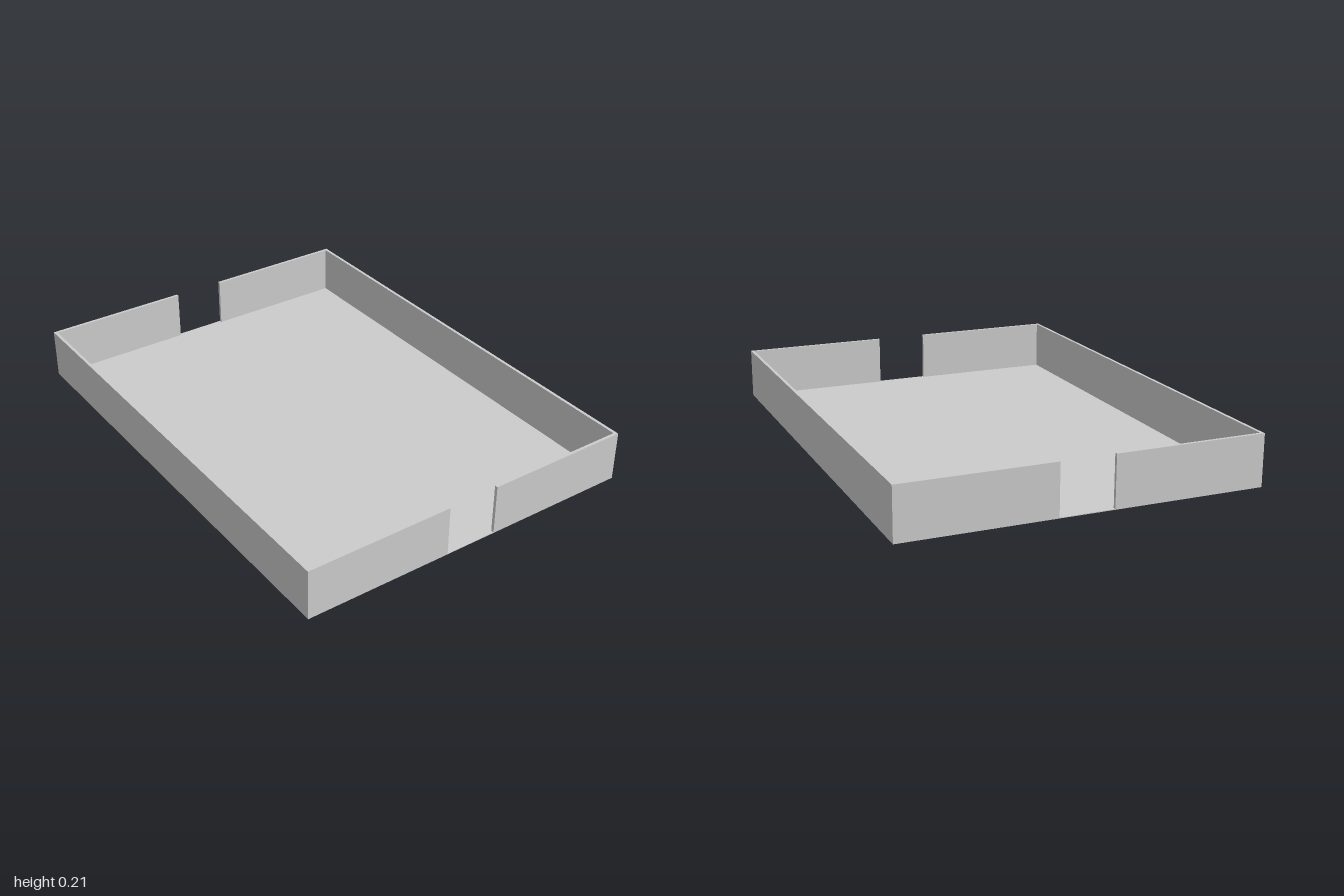
import * as THREE from 'three';

const WIDTH = 1.476, LENGTH = 2, HEIGHT = 0.214;
const WALL = 0.013, FLOOR = 0.003, GAP = 0.224;

export function createModel() {
  const tray = new THREE.Group();
  tray.name = 'tray';
  const material = new THREE.MeshStandardMaterial({ color: 0xcccccc });

  const addBox = (name, w, h, d, x, y, z) => {
    const mesh = new THREE.Mesh(new THREE.BoxGeometry(w, h, d), material);
    mesh.name = name;
    mesh.position.set(x, y, z);
    tray.add(mesh);
  };

  // Thin floor sheet under the walls
  addBox('floor', WIDTH, FLOOR, LENGTH, 0, FLOOR / 2, 0);

  const wallHeight = HEIGHT - FLOOR;
  const wallY = FLOOR + wallHeight / 2;
  const endLength = (WIDTH - GAP) / 2 - WALL;

  for (const [side, sx] of [['left', 1], ['right', -1]]) {
    // Long side wall
    addBox(`${side}Wall`, WALL, wallHeight, LENGTH, sx * (WIDTH - WALL) / 2, wallY, 0);

    // Short end walls, leaving a central opening at each end
    for (const [end, sz] of [['Front', 1], ['Back', -1]]) {
      addBox(`${side}${end}Wall`, endLength, wallHeight, WALL,
        sx * (GAP + endLength) / 2, wallY, sz * (LENGTH - WALL) / 2);
    }
  }
  return tray;
}
